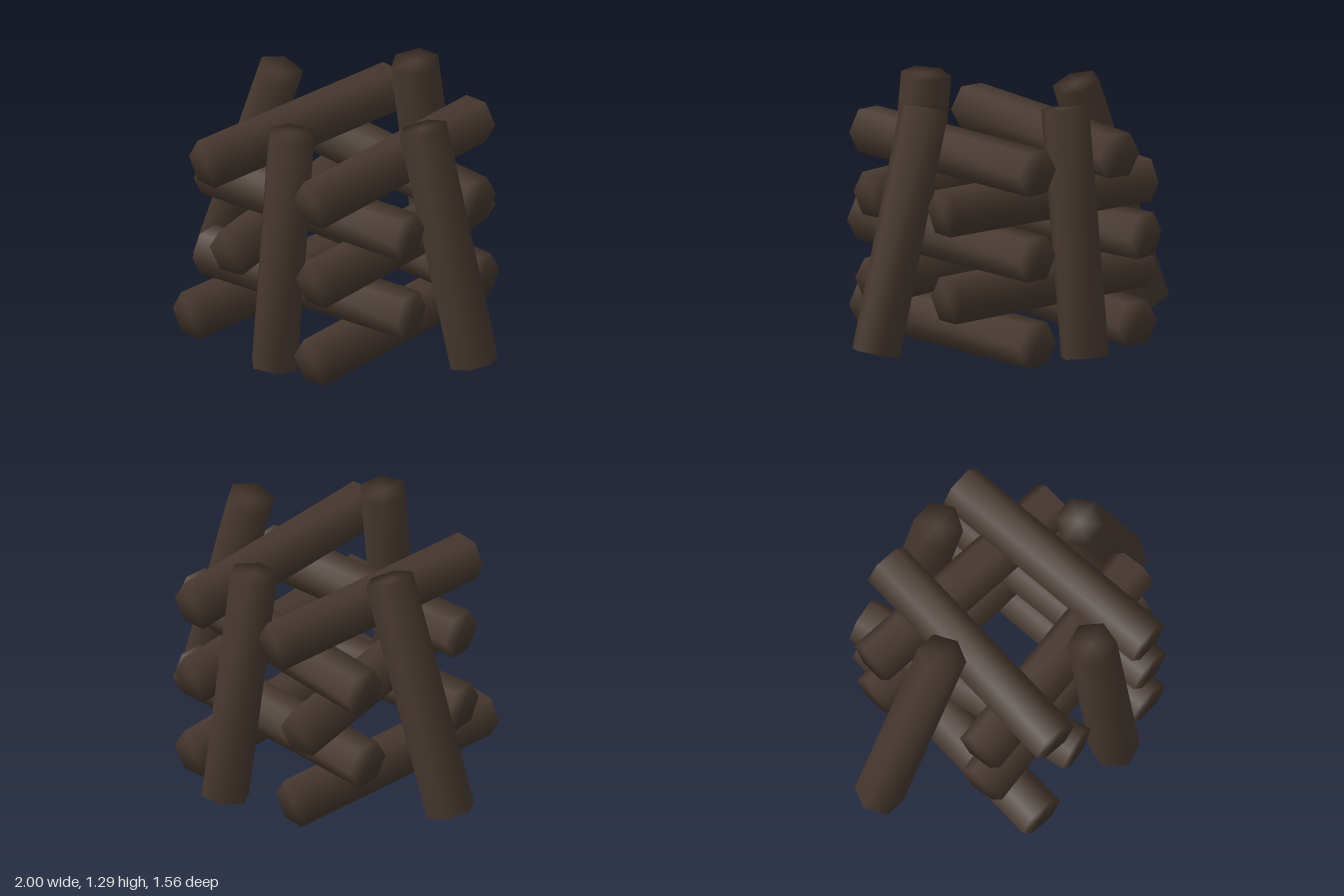
import * as THREE from 'three';
import { mergeVertices } from 'three/addons/utils/BufferGeometryUtils.js';

const RADIUS = 0.127;

// Six-sided log between two end points; corner is the direction one edge points to.
function makeLog(name, start, end, corner, material) {
  const a = new THREE.Vector3(...start);
  const b = new THREE.Vector3(...end);
  const axis = b.clone().sub(a);
  const length = axis.length();
  axis.normalize();

  // Shared vertices give softly shaded sides and ends
  let geometry = new THREE.CylinderGeometry(RADIUS, RADIUS, length, 6);
  geometry.deleteAttribute('normal');
  geometry.deleteAttribute('uv');
  geometry = mergeVertices(geometry);
  geometry.computeVertexNormals();

  const z = new THREE.Vector3(...corner);
  z.addScaledVector(axis, -z.dot(axis)).normalize();
  const x = new THREE.Vector3().crossVectors(axis, z);
  const mesh = new THREE.Mesh(geometry, material);
  mesh.quaternion.setFromRotationMatrix(new THREE.Matrix4().makeBasis(x, axis, z));
  mesh.position.copy(a).add(b).multiplyScalar(0.5);
  mesh.name = name;
  return mesh;
}

export function createModel() {
  const group = new THREE.Group();
  group.name = 'logPile';
  const bark = new THREE.MeshStandardMaterial({ color: 0x46382f });
  bark.name = 'dark bark';
  const layerY = (i) => 0.112 + 0.222 * i;

  // Logs running front to back: [layer, x at the back, x at the front]
  [
    [0, -0.32, -0.455], [0, 0.355, 0.355],
    [2, -0.38, -0.185], [2, 0.355, 0.37],
    [4, -0.2, -0.35], [4, 0.355, 0.355],
  ].forEach(([layer, back, front]) => {
    const y = layerY(layer);
    group.add(makeLog('lengthwiseLog', [back, y, -0.605], [front, y, 0.66], [1, 0, 0], bark));
  });

  // Logs running side to side: [layer, z at the right end, z at the left end]
  [
    [1, 0.375, 0.27], [1, -0.34, -0.28],
    [3, 0.36, 0.285], [3, -0.365, -0.245],
  ].forEach(([layer, right, left]) => {
    const y = layerY(layer);
    group.add(makeLog('crosswiseLog', [-0.585, y, right], [0.67, y, left], [0, 0, 1], bark));
  });

  // Upright logs leaning against each side of the stack
  group.add(makeLog('leaningLogRight', [-0.885, 0.047, -0.05], [-0.44, 1.228, -0.02], [1, 0, 0], bark));
  group.add(makeLog('leaningLogLeft', [0.877, 0.04, 0.025], [0.543, 1.255, 0.03], [1, 0, 0], bark));
  group.add(makeLog('leaningLogFront', [0.1, 0.018, 0.66], [0.09, 1.267, 0.515], [0.97, 0, -0.24], bark));
  group.add(makeLog('leaningLogBack', [0.085, 0.02, -0.665], [0.055, 1.268, -0.482], [1, 0, 0], bark));

  return group;
}
